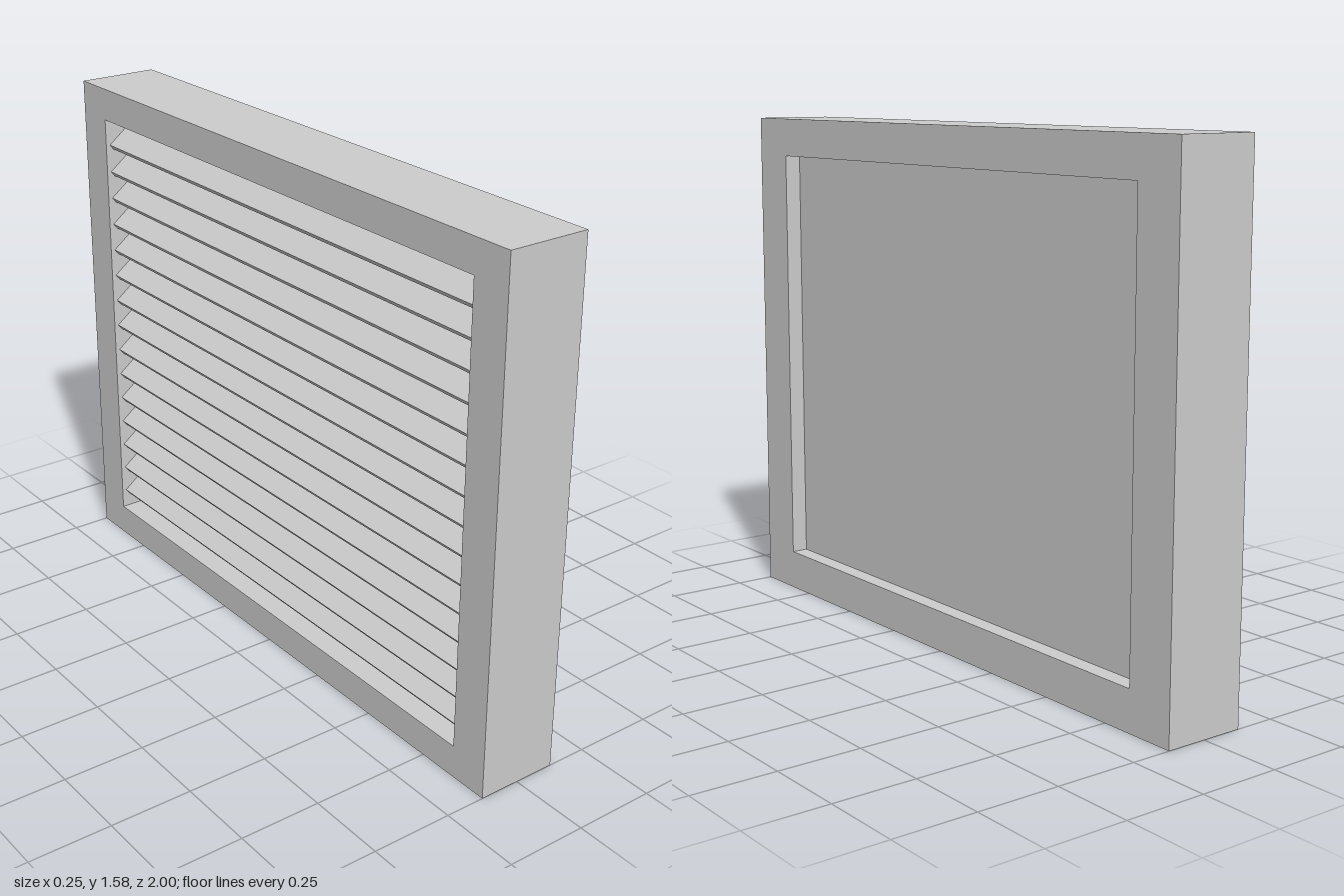
import * as THREE from 'three';

const material = new THREE.MeshStandardMaterial({ color: 0xcccccc, flatShading: true });

// Rectangular ring in the plane x: corners run anticlockwise seen from +x
const ring = (x, halfZ, y0, y1) => [
  [x, y0, halfZ], [x, y0, -halfZ], [x, y1, -halfZ], [x, y1, halfZ],
];

// Joins each ring to the next with flat quads
function loft(rings) {
  const pos = [];
  for (let i = 0; i < rings.length - 1; i++) {
    const a = rings[i], b = rings[i + 1];
    for (let k = 0; k < 4; k++) {
      const n = (k + 1) % 4;
      pos.push(...a[k], ...a[n], ...b[n], ...a[k], ...b[n], ...b[k]);
    }
  }
  const g = new THREE.BufferGeometry();
  g.setAttribute('position', new THREE.Float32BufferAttribute(pos, 3));
  g.computeVertexNormals();
  return g;
}

export function createModel() {
  const group = new THREE.Group();
  const add = (name, geometry, x = 0, y = 0, parent = group) => {
    const mesh = new THREE.Mesh(geometry, material);
    mesh.name = name;
    mesh.position.set(x, y, 0);
    parent.add(mesh);
    return mesh;
  };

  // Frame: smaller opening on the panel side, larger on the louver side
  const D = 0.127, step = 0.03;
  add('frame', loft([
    ring(D, 1, 0, 1.58),
    ring(D, 0.845, 0.125, 1.46),
    ring(step, 0.845, 0.125, 1.46),
    ring(step, 0.875, 0.1, 1.48),
    ring(-D, 0.875, 0.1, 1.48),
    ring(-D, 1, 0, 1.58),
    ring(D, 1, 0, 1.58),
  ]));

  // Recessed panel closing the opening
  add('panel', new THREE.BoxGeometry(0.045, 1.335, 1.69), 0.0525, 0.7925);

  // Louvers sloping down towards the outside
  const louvers = new THREE.Group();
  louvers.name = 'louvers';
  group.add(louvers);
  const slat = new THREE.BoxGeometry(0.12, 0.02, 1.75);
  for (let i = 0; i < 15; i++) {
    const s = add('louver', slat, -0.06, 0.19 + i * 0.0882, louvers);
    s.rotation.z = THREE.MathUtils.degToRad(38);
  }
  return group;
}
